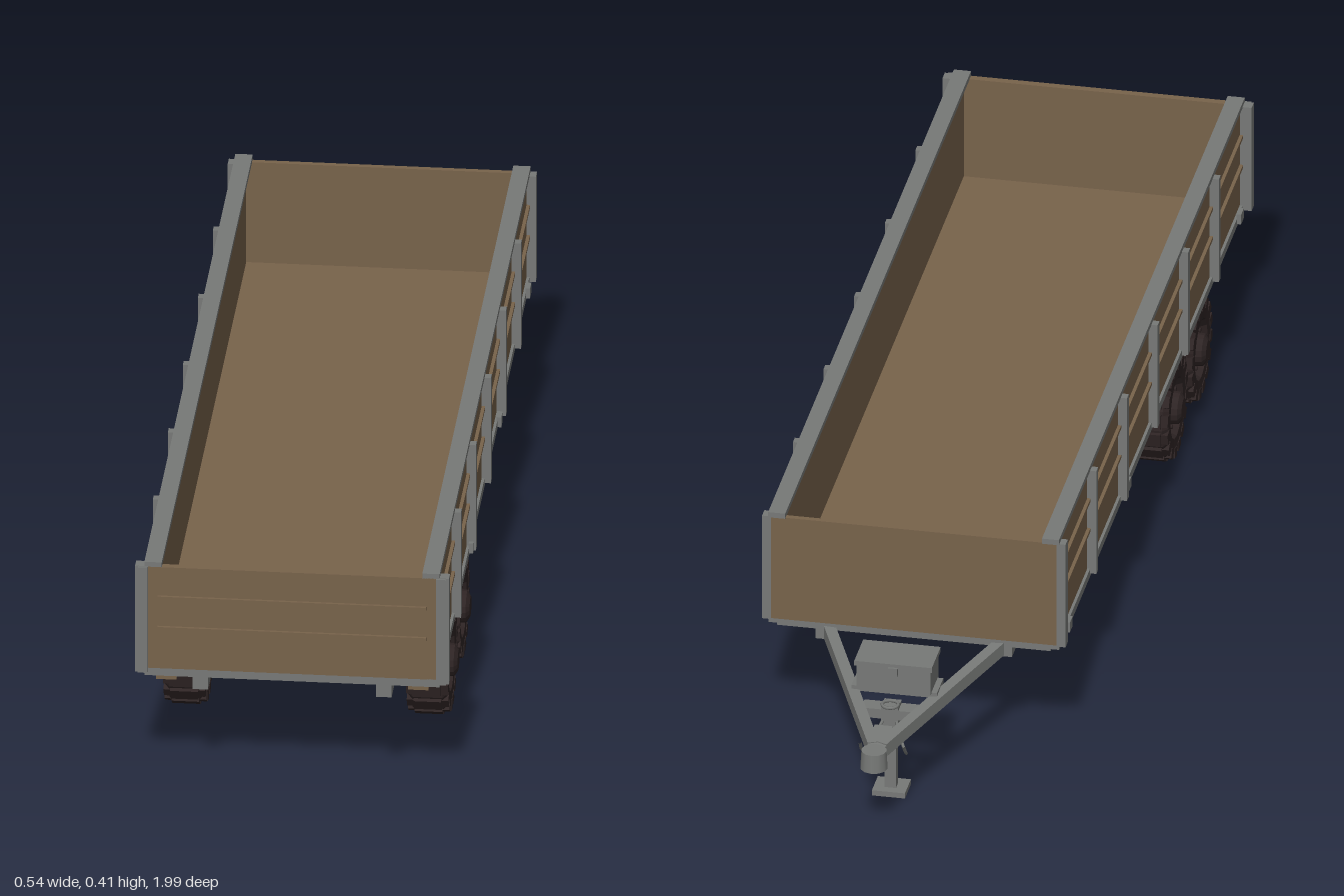
import * as THREE from 'three';

const mat = (name, color) => {
  const m = new THREE.MeshStandardMaterial({ color });
  m.name = name;
  return m;
};

export function createModel() {
  const root = new THREE.Group();
  root.name = 'flatbedTrailer';
  const wood = mat('brownWood', 0x78634b);
  const steel = mat('greySteel', 0x777977);
  const rubber = mat('darkRubber', 0x2e2424);

  const add = (name, geo, m, parent = root) => {
    const mesh = new THREE.Mesh(geo, m);
    mesh.name = name;
    parent.add(mesh);
    return mesh;
  };
  // Box given by its limits on each axis
  const box = (name, m, x0, x1, y0, y1, z0, z1, parent) => {
    const mesh = add(name, new THREE.BoxGeometry(x1 - x0, y1 - y0, z1 - z0), m, parent);
    mesh.position.set((x0 + x1) / 2, (y0 + y1) / 2, (z0 + z1) / 2);
    return mesh;
  };
  // Same box on both sides
  const pair = (name, m, x0, x1, y0, y1, z0, z1) => {
    box(name + 'Left', m, x0, x1, y0, y1, z0, z1);
    box(name + 'Right', m, -x1, -x0, y0, y1, z0, z1);
  };
  // Square beam between two points
  const beam = (name, m, a, b, w, h) => {
    const p = new THREE.Vector3(...a), q = new THREE.Vector3(...b);
    const mesh = add(name, new THREE.BoxGeometry(w, h, p.distanceTo(q)), m);
    mesh.position.copy(p).add(q).multiplyScalar(0.5);
    mesh.lookAt(q);
  };

  // Cargo body
  box('floor', wood, -0.24, 0.24, 0.207, 0.215, -0.625, 0.98);
  box('headboard', wood, -0.25, 0.25, 0.207, 0.406, -0.63, -0.62);
  box('tailgate', wood, -0.25, 0.25, 0.213, 0.406, 0.972, 0.985);
  pair('sideBoard', wood, 0.235, 0.25, 0.213, 0.406, -0.62, 0.972);
  pair('topRail', steel, 0.225, 0.255, 0.405, 0.415, -0.632, 0.985);
  pair('lowerSideRail', steel, 0.232, 0.255, 0.199, 0.214, -0.63, 0.985);
  box('rearSill', steel, -0.24, 0.24, 0.199, 0.213, 0.965, 0.985);
  box('frontSill', steel, -0.24, 0.24, 0.195, 0.207, -0.63, -0.612);
  for (const y of [0.291, 0.349]) {
    box('tailgateRib', wood, -0.232, 0.232, y - 0.003, y + 0.003, 0.984, 0.99);
    pair('sideRib', wood, 0.249, 0.256, y - 0.003, y + 0.003, -0.61, 0.965);
  }

  // Side posts, the corner ones wider
  for (let i = 0; i < 7; i++) {
    const z = -0.62 + i * 0.2665;
    const w = i % 6 ? 0.008 : 0.01;
    pair('sidePost', steel, 0.249, 0.266, 0.205, 0.406, z - w, z + w);
  }
  pair('rearCornerPost', steel, 0.251, 0.271, 0.205, 0.407, 0.965, 0.985);
  for (const z of [-0.56, -0.05, 0.45, 0.93])
    pair('lashingBracket', steel, 0.254, 0.262, 0.203, 0.222, z - 0.012, z + 0.012);

  // Chassis
  pair('chassisRail', steel, 0.145, 0.172, 0.176, 0.207, -0.63, 0.985);
  for (let i = 0; i < 10; i++) {
    const z = -0.45 + i * 0.148;
    box('crossMember', steel, -0.25, 0.25, 0.195, 0.208, z - 0.007, z + 0.007);
  }
  for (const z of [-0.5, -0.23, 0.04, 0.31])
    pair('outriggerFoot', steel, 0.2, 0.235, 0.187, 0.2, z - 0.012, z + 0.012);
  pair('rearBlock', wood, 0.2, 0.235, 0.19, 0.212, 0.95, 0.98);

  // Tyre profile (radius, width) and hub, turned about the x axis
  const tyreProfile = [
    [0.045, -0.028], [0.055, -0.034], [0.078, -0.035], [0.089, -0.026],
    [0.089, 0.026], [0.078, 0.035], [0.055, 0.034], [0.048, 0.02],
    [0.03, 0.02], [0.028, 0.04], [0.018, 0.046], [0, 0.046],
  ];
  const tyreGeo = new THREE.LatheGeometry(tyreProfile.map(p => new THREE.Vector2(...p)), 16)
    .toNonIndexed();
  tyreGeo.computeVertexNormals();
  const makeWheel = () => {
    const wheel = new THREE.Group();
    wheel.name = 'wheel';
    add('tyre', tyreGeo, rubber, wheel).rotation.z = -Math.PI / 2;
    const back = add('rimBack', new THREE.CylinderGeometry(0.05, 0.05, 0.02, 16), rubber, wheel);
    back.rotation.z = Math.PI / 2;
    back.position.x = -0.018;
    for (let i = 0; i < 16; i++) {
      const a = (i + 0.5) / 16 * Math.PI * 2;
      const lug = add('treadLug', new THREE.BoxGeometry(0.048, 0.008, 0.026), rubber, wheel);
      lug.position.set(0, Math.cos(a) * 0.0895, Math.sin(a) * 0.0895);
      lug.rotation.x = a;
      for (const s of [-1, 1]) {
        const shoulder = add('shoulderLug', new THREE.BoxGeometry(0.012, 0.018, 0.02), rubber, wheel);
        shoulder.position.set(s * 0.03, Math.cos(a) * 0.08, Math.sin(a) * 0.08);
        shoulder.rotation.x = a;
      }
    }
    for (let i = 0; i < 6; i++) {
      const a = i / 6 * Math.PI * 2;
      const bolt = add('wheelBolt', new THREE.CylinderGeometry(0.004, 0.004, 0.008, 6), rubber, wheel);
      bolt.rotation.z = Math.PI / 2;
      bolt.position.set(0.023, Math.cos(a) * 0.038, Math.sin(a) * 0.038);
    }
    return wheel;
  };

  // Tandem axles with hanger plates
  for (const z of [0.66, 0.447]) {
    box('axle', steel, -0.19, 0.19, 0.084, 0.108, z - 0.013, z + 0.013);
    pair('axleHanger', steel, 0.149, 0.168, 0.098, 0.18, z - 0.04, z + 0.04);
    for (const s of [1, -1]) {
      const w = makeWheel();
      w.position.set(s * 0.21, 0.095, z);
      if (s < 0) w.rotation.y = Math.PI;
      root.add(w);
    }
  }

  // Drawbar and coupler
  for (const s of [1, -1]) {
    beam('drawbarArm', steel, [s * 0.16, 0.193, -0.6], [s * 0.008, 0.148, -0.945], 0.02, 0.024);
    const chain = new THREE.CatmullRomCurve3([
      [0.012, 0.145, -0.84], [0.028, 0.115, -0.865], [0.038, 0.11, -0.885], [0.038, 0.137, -0.91],
    ].map(([x, y, z]) => new THREE.Vector3(x * s, y, z)));
    add('safetyChain', new THREE.TubeGeometry(chain, 12, 0.003, 5), steel);
  }
  beam('couplerNeck', steel, [0, 0.153, -0.89], [0, 0.143, -0.985], 0.032, 0.022);
  const head = add('couplerHead', new THREE.CylinderGeometry(0.022, 0.024, 0.034, 12), steel);
  head.position.set(0, 0.144, -0.976);

  // Toolbox on the drawbar
  box('toolboxShelf', steel, -0.075, 0.075, 0.176, 0.186, -0.8, -0.745);
  box('toolbox', steel, -0.065, 0.065, 0.184, 0.232, -0.807, -0.737);
  box('toolboxLid', steel, -0.068, 0.068, 0.231, 0.24, -0.811, -0.733);
  box('toolboxLatch', steel, -0.008, 0.008, 0.218, 0.234, -0.815, -0.808);

  // Parking jack
  box('jackCrossPlate', steel, -0.05, 0.05, 0.148, 0.166, -0.84, -0.81);
  box('jackSleeve', steel, -0.015, 0.015, 0.095, 0.172, -0.84, -0.81);
  box('jackLeg', steel, -0.01, 0.01, 0.01, 0.1, -0.835, -0.815);
  box('jackFoot', steel, -0.029, 0.029, 0.002, 0.012, -0.851, -0.799);
  const ring = add('jackRing', new THREE.TorusGeometry(0.014, 0.003, 6, 14), steel);
  ring.rotation.x = Math.PI / 2;
  ring.position.set(0, 0.175, -0.835);

  return root;
}
